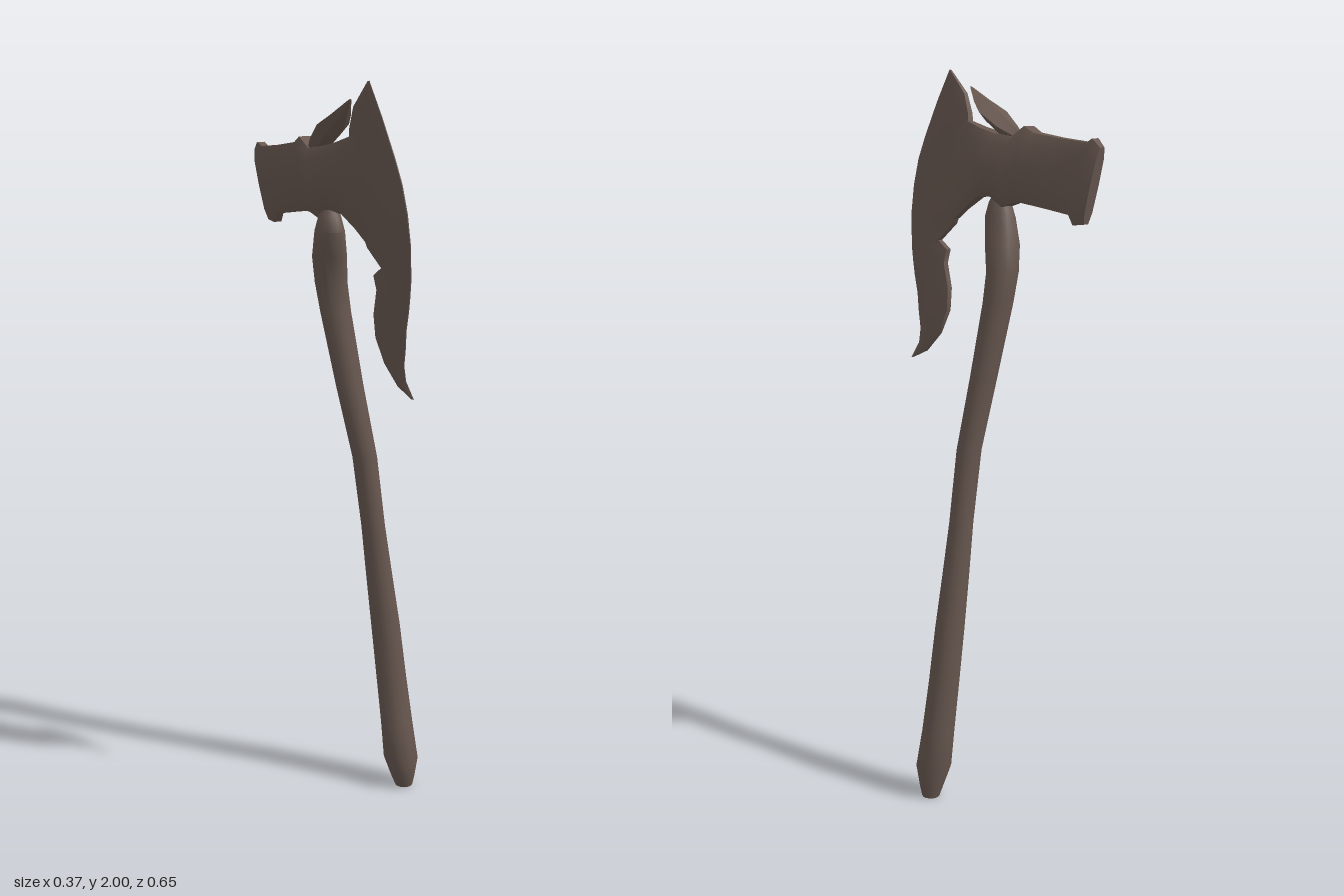
import * as THREE from 'three';
import { toCreasedNormals } from 'three/addons/utils/BufferGeometryUtils.js';

// Skin a list of closed rings (arrays of Vector3) and cap both ends
function loft(rings, crease) {
  const n = rings[0].length, pos = [], idx = [];
  const centre = r => r.reduce((s, p) => s.add(p), new THREE.Vector3()).divideScalar(n);
  rings.flat().forEach(p => pos.push(p.x, p.y, p.z));
  const last = rings.length - 1, c0 = rings.length * n, c1 = c0 + 1;
  [centre(rings[0]), centre(rings[last])].forEach(p => pos.push(p.x, p.y, p.z));
  for (let j = 0; j < n; j++) {
    const k = (j + 1) % n;
    for (let i = 0; i < last; i++) {
      const a = i * n + j, b = i * n + k;
      idx.push(a, b, b + n, a, b + n, a + n);
    }
    idx.push(c0, k, j, c1, last * n + j, last * n + k);
  }
  // Turn the faces outward if the enclosed volume is negative
  const v = i => new THREE.Vector3().fromArray(pos, i * 3);
  let volume = 0;
  for (let i = 0; i < idx.length; i += 3) volume += v(idx[i]).dot(v(idx[i + 1]).cross(v(idx[i + 2])));
  if (volume < 0) idx.reverse();
  const g = new THREE.BufferGeometry();
  g.setAttribute('position', new THREE.Float32BufferAttribute(pos, 3));
  g.setIndex(idx);
  return toCreasedNormals(g, crease);
}

// The head lies in a leaning, slightly turned plane
const planeX = (z, y) => -0.095 - 0.135 * (y - 1.82) + 0.253 * z;

// Cross-section from edge a to edge b; profile gives [fraction, thickness factor]
function section([az, ay, bz, by, half], profile) {
  const at = (u, t) => {
    const z = az + (bz - az) * u, y = ay + (by - ay) * u;
    return new THREE.Vector3(planeX(z, y) + half * t, y, z - 0.25 * half * t);
  };
  return [...profile.map(([u, t]) => at(u, t)),
    ...profile.slice().reverse().map(([u, t]) => at(u, -t))];
}

export function createModel() {
  const group = new THREE.Group();
  const brown = new THREE.MeshStandardMaterial({ color: 0x67574f });
  const add = (name, geometry) => {
    const mesh = new THREE.Mesh(geometry, brown);
    mesh.name = name;
    group.add(mesh);
  };

  // Curved handle: y, centre x, centre z, radius x, radius z
  const handle = [
    [0, 0.14, 0.008, 0.025, 0.025], [0.03, 0.136, 0.01, 0.034, 0.034],
    [0.09, 0.129, 0.01, 0.049, 0.051], [0.2, 0.12, -0.002, 0.046, 0.043],
    [0.35, 0.104, -0.009, 0.043, 0.041], [0.5, 0.088, -0.013, 0.041, 0.04],
    [0.65, 0.068, -0.012, 0.037, 0.037], [0.8, 0.048, -0.009, 0.033, 0.033],
    [1.0, 0.022, -0.007, 0.034, 0.034], [1.2, -0.017, -0.019, 0.038, 0.034],
    [1.4, -0.05, -0.037, 0.042, 0.038], [1.48, -0.062, -0.039, 0.044, 0.041],
    [1.55, -0.072, -0.022, 0.046, 0.048], [1.62, -0.08, 0.003, 0.038, 0.051],
    [1.66, -0.08, 0.004, 0.028, 0.036], [1.685, -0.08, 0.003, 0.012, 0.02],
  ];
  add('handle', loft(handle.map(([y, x, z, rx, rz]) =>
    Array.from({ length: 14 }, (_, j) => {
      const a = j / 14 * Math.PI * 2;
      return new THREE.Vector3(x + rx * Math.cos(a), y, z + rz * Math.sin(a));
    })), 0.75));

  // Hammer end and eye, running forward into the blade: top z, y, bottom z, y, half thickness
  const bodyProfile = [[0, 0.5], [0.15, 0.9], [0.5, 1], [0.85, 0.9], [1, 0.5]];
  const body = [
    [-0.323, 1.81, -0.302, 1.622, 0.016], [-0.297, 1.832, -0.27, 1.618, 0.024],
    [-0.28, 1.822, -0.25, 1.643, 0.021], [-0.19, 1.83, -0.17, 1.654, 0.025],
    [-0.106, 1.841, -0.09, 1.664, 0.031], [-0.074, 1.857, -0.07, 1.663, 0.037],
    [-0.035, 1.83, -0.03, 1.65, 0.042], [0.03, 1.838, 0.02, 1.677, 0.041],
    [0.085, 1.85, 0.07, 1.668, 0.031], [0.125, 1.862, 0.115, 1.635, 0.022],
    [0.19, 1.88, 0.19, 1.57, 0.014],
  ];
  add('headBody', loft(body.map(s => section(s, bodyProfile)), 0.7));

  // Crescent blade with a hooked lower horn: cutting edge z, y, inner edge z, y, half thickness
  const bladeProfile = [[0, 0.08], [0.3, 0.75], [0.65, 1], [1, 0.5]];
  const blade = [
    [0.236, 2.0, 0.229, 1.998, 0.003], [0.27, 1.915, 0.165, 1.938, 0.012],
    [0.302, 1.82, 0.14, 1.885, 0.017], [0.318, 1.76, 0.12, 1.79, 0.018],
    [0.325, 1.69, 0.125, 1.68, 0.019], [0.323, 1.608, 0.152, 1.593, 0.017],
    [0.307, 1.52, 0.2, 1.546, 0.014], [0.297, 1.485, 0.164, 1.523, 0.015],
    [0.284, 1.445, 0.169, 1.486, 0.015], [0.265, 1.396, 0.143, 1.42, 0.015],
    [0.252, 1.345, 0.138, 1.36, 0.014], [0.238, 1.3, 0.16, 1.295, 0.011],
    [0.238, 1.26, 0.205, 1.241, 0.008], [0.262, 1.216, 0.253, 1.217, 0.003],
  ];
  add('blade', loft(blade.map(s => section(s, bladeProfile)), 0.6));

  // Flat spike over the eye: z, top y, bottom y, centre x, half width
  const spike = [
    [0.15, 1.956, 1.953, -0.077, 0.003], [0.1, 1.93, 1.9, -0.083, 0.027],
    [0.06, 1.908, 1.868, -0.09, 0.043], [0.0, 1.872, 1.83, -0.098, 0.033],
    [-0.035, 1.848, 1.815, -0.106, 0.018], [-0.065, 1.826, 1.815, -0.11, 0.005],
  ];
  add('topSpike', loft(spike.map(([z, top, low, x, w]) => [
    [0, top], [w, top * 0.6 + low * 0.4], [w * 0.5, low], [-w * 0.5, low], [-w, top * 0.6 + low * 0.4],
  ].map(([dx, y]) => new THREE.Vector3(x + dx, y, z))), 0.6));

  return group;
}
